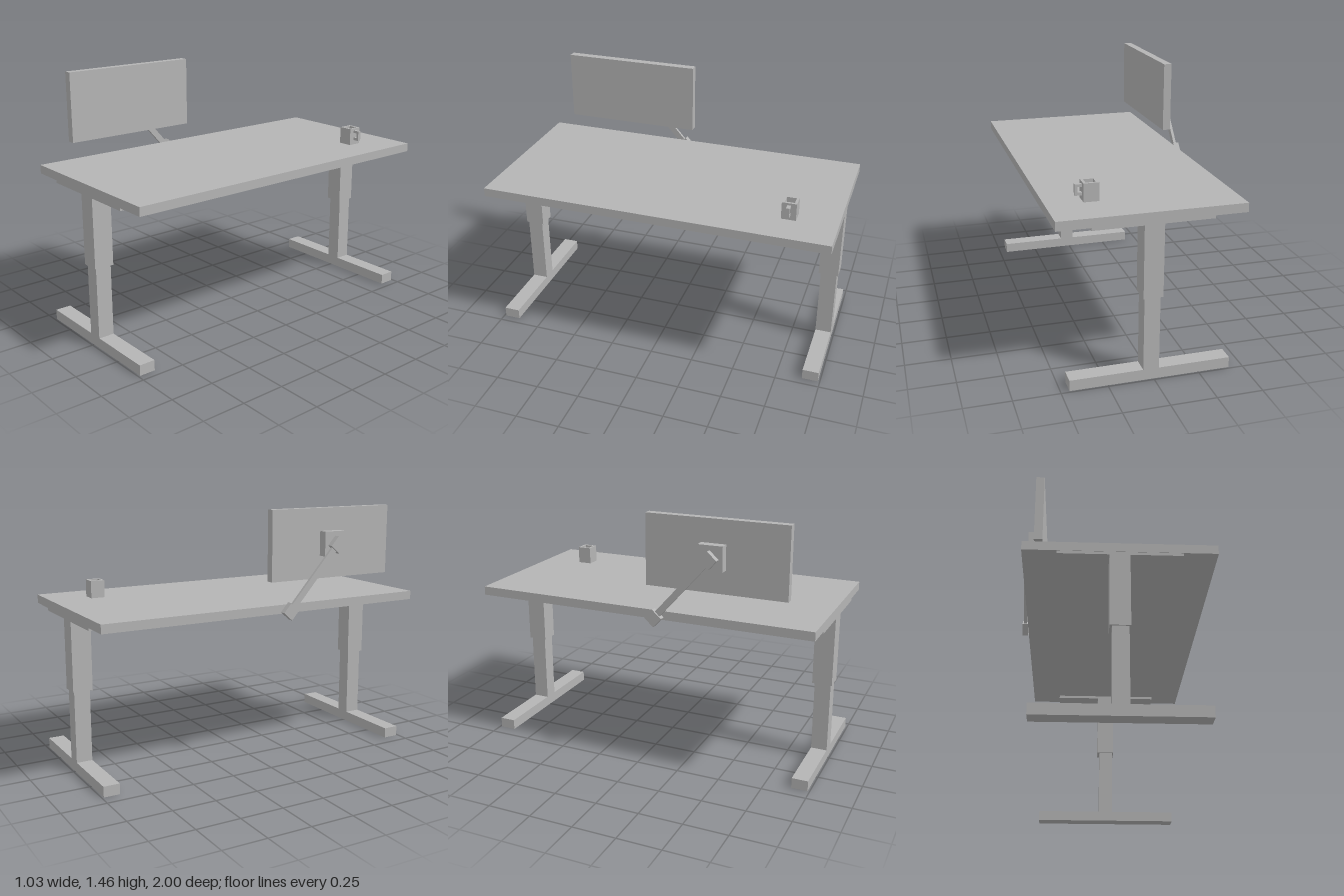
import * as THREE from 'three';

const grey = new THREE.MeshStandardMaterial({ color: 0xb4b4b4 });
grey.name = 'grey';

// Box given by its bounds on each axis
function block(parent, name, [x0, x1], [y0, y1], [z0, z1]) {
  const mesh = new THREE.Mesh(new THREE.BoxGeometry(x1 - x0, y1 - y0, z1 - z0), grey);
  mesh.position.set((x0 + x1) / 2, (y0 + y1) / 2, (z0 + z1) / 2);
  mesh.name = name;
  parent.add(mesh);
  return mesh;
}

function group(parent, name) {
  const g = new THREE.Group();
  g.name = name;
  parent.add(g);
  return g;
}

// Square ring outline
function rect(PathType, x0, y0, x1, y1) {
  return new PathType([[x0, y0], [x1, y0], [x1, y1], [x0, y1]].map(p => new THREE.Vector2(...p)));
}

export function createModel() {
  const model = new THREE.Group();
  model.name = 'standingDesk';

  block(model, 'desktop', [-0.485, 0.515], [0.885, 0.935], [-1, 1]);

  // Telescoping legs at both ends
  for (const side of [1, -1]) {
    const leg = group(model, side > 0 ? 'frontLeg' : 'backLeg');
    const span = (a, b) => side > 0 ? [a, b] : [-b, -a];
    block(leg, 'bracket', [-0.308, 0.337], [0.869, 0.885], span(0.885, 0.998));
    block(leg, 'upperColumn', [-0.04, 0.066], [0.47, 0.87], span(0.885, 0.998));
    block(leg, 'lowerColumn', [-0.028, 0.058], [0.06, 0.48], span(0.897, 0.989));
    block(leg, 'foot', [-0.424, 0.454], [0, 0.06], span(0.897, 0.989));
  }

  // Screen and its mount
  const monitor = group(model, 'monitor');
  block(monitor, 'screen', [-0.434, -0.388], [1.055, 1.455], [0.034, 0.838]);
  block(monitor, 'mount', [-0.485, -0.434], [1.185, 1.325], [0.355, 0.495]);

  // Slanted arm with a square joint at each end
  const low = [0.897, 0.112], high = [1.25, 0.425];
  const dy = high[0] - low[0], dz = high[1] - low[1];
  const length = Math.hypot(dy, dz);
  const arm = group(monitor, 'arm');
  arm.position.set(-0.502, low[0], low[1]);
  arm.rotation.x = Math.atan2(dz, dy);
  block(arm, 'lowerJoint', [-0.017, 0.017], [-0.035, 0.035], [-0.035, 0.035]);
  block(arm, 'rod', [-0.008, 0.008], [0, length], [-0.018, 0.018]);
  block(arm, 'upperJoint', [-0.017, 0.017], [length - 0.035, length + 0.035], [-0.035, 0.035]);

  // Square hollow mug
  const mug = group(model, 'mug');
  mug.position.set(0.275, 0.935, -0.73);
  const wall = rect(THREE.Shape, -0.041, -0.041, 0.041, 0.041);
  wall.holes.push(rect(THREE.Path, -0.027, -0.027, 0.027, 0.027));
  const wallGeometry = new THREE.ExtrudeGeometry(wall, { depth: 0.1, bevelEnabled: false });
  wallGeometry.rotateX(-Math.PI / 2);
  const walls = new THREE.Mesh(wallGeometry, grey);
  walls.name = 'mugWalls';
  mug.add(walls);
  block(mug, 'mugBottom', [-0.028, 0.028], [0.001, 0.015], [-0.028, 0.028]);
  block(mug, 'handleTop', [0.04, 0.079], [0.073, 0.088], [-0.01, 0.01]);
  block(mug, 'handleBottom', [0.04, 0.079], [0.028, 0.044], [-0.01, 0.01]);
  block(mug, 'handleGrip', [0.064, 0.079], [0.044, 0.073], [-0.01, 0.01]);

  return model;
}
